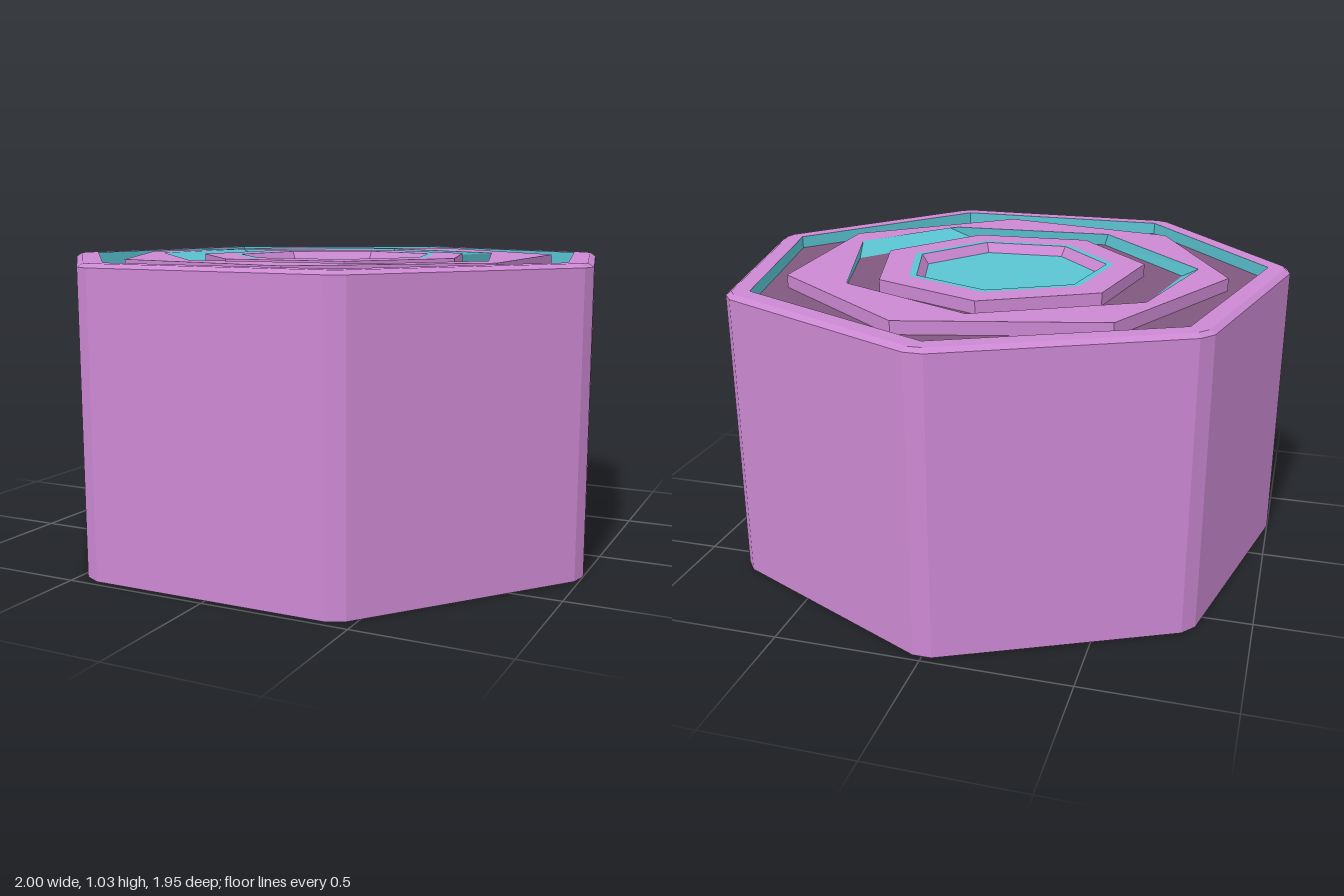
import * as THREE from 'three';

const SIDES = 7, CZ = 0.044;
const TOP = 1.03, FLOOR = 0.985;

// Heptagon corners [x, z], starting at the back and running towards +x
function heptagon(r, deg = 0) {
  return Array.from({ length: SIDES }, (_, i) => {
    const a = THREE.MathUtils.degToRad(deg) + (i * Math.PI * 2) / SIDES;
    return [Math.sin(a) * r, CZ - Math.cos(a) * r];
  });
}

// Turn corners into a loop at height y, each corner clipped by a distance
function loop(corners, y, clip = 0) {
  const pts = corners.map(([x, z]) => new THREE.Vector3(x, y, z));
  return pts.flatMap((p, i) => [pts[(i + SIDES - 1) % SIDES], pts[(i + 1) % SIDES]].map((q) => {
    const d = q.clone().sub(p);
    return d.lengthSq() ? p.clone().addScaledVector(d.normalize(), clip) : p.clone();
  }));
}

// Flat faceted band between two loops
function band(a, b) {
  const pos = [];
  const tri = (p, q, r) => {
    const area = q.clone().sub(p).cross(r.clone().sub(p)).length();
    if (area > 1e-9) for (const v of [p, q, r]) pos.push(v.x, v.y, v.z);
  };
  a.forEach((p, i) => {
    const j = (i + 1) % a.length;
    tri(a[j], p, b[i]);
    tri(a[j], b[i], b[j]);
  });
  const g = new THREE.BufferGeometry();
  g.setAttribute('position', new THREE.Float32BufferAttribute(pos, 3));
  g.computeVertexNormals();
  return g;
}

export function createModel() {
  const group = new THREE.Group();
  const material = (name, color) => {
    const m = new THREE.MeshStandardMaterial({ color });
    m.name = name;
    return m;
  };
  const purple = material('purple', 0xcb88d2);
  const plum = material('dark plum', 0x80597f);
  const teal = material('teal', 0x5ac4d2);

  // Upper edge of the middle ring's opening, flared on two sides
  const flared = [[-0.04, -0.6], [0.465, -0.36], [0.655, 0.25], [0.42, 0.595],
    [-0.26, 0.63], [-0.68, 0.16], [-0.6, -0.3]];

  // One continuous profile: under the base, up the outside, then inwards
  let last = loop(heptagon(0), 0);
  const steps = [
    ['base', purple, heptagon(1.034), 0, 0.035],
    ['outerWall', purple, heptagon(1.034), 1.017, 0.035],
    ['rimBevel', purple, heptagon(1.012), TOP, 0.025],
    ['rimTop', purple, heptagon(0.944), TOP],
    ['rimInnerWall', teal, heptagon(0.944), FLOOR],
    ['outerFloor', plum, heptagon(0.797, 11.8), FLOOR],
    ['middleRingWall', purple, heptagon(0.797, 11.8), TOP],
    ['middleRingTop', purple, flared, TOP],
    ['middleRingInnerWall', teal, heptagon(0.64, -3), FLOOR],
    ['innerFloor', plum, heptagon(0.5, -3), FLOOR],
    ['innerRingWall', purple, heptagon(0.5, -3), TOP],
    ['innerRingTop', purple, heptagon(0.388, -3), TOP],
    ['tealStripe', teal, heptagon(0.36, -3), TOP],
    ['dishWall', purple, heptagon(0.335, -3), 0.995],
    ['dishFloor', teal, heptagon(0), 0.995],
  ];
  for (const [name, mat, corners, y, clip] of steps) {
    const next = loop(corners, y, clip);
    const mesh = new THREE.Mesh(band(last, next), mat);
    mesh.name = name;
    group.add(mesh);
    last = next;
  }
  return group;
}
